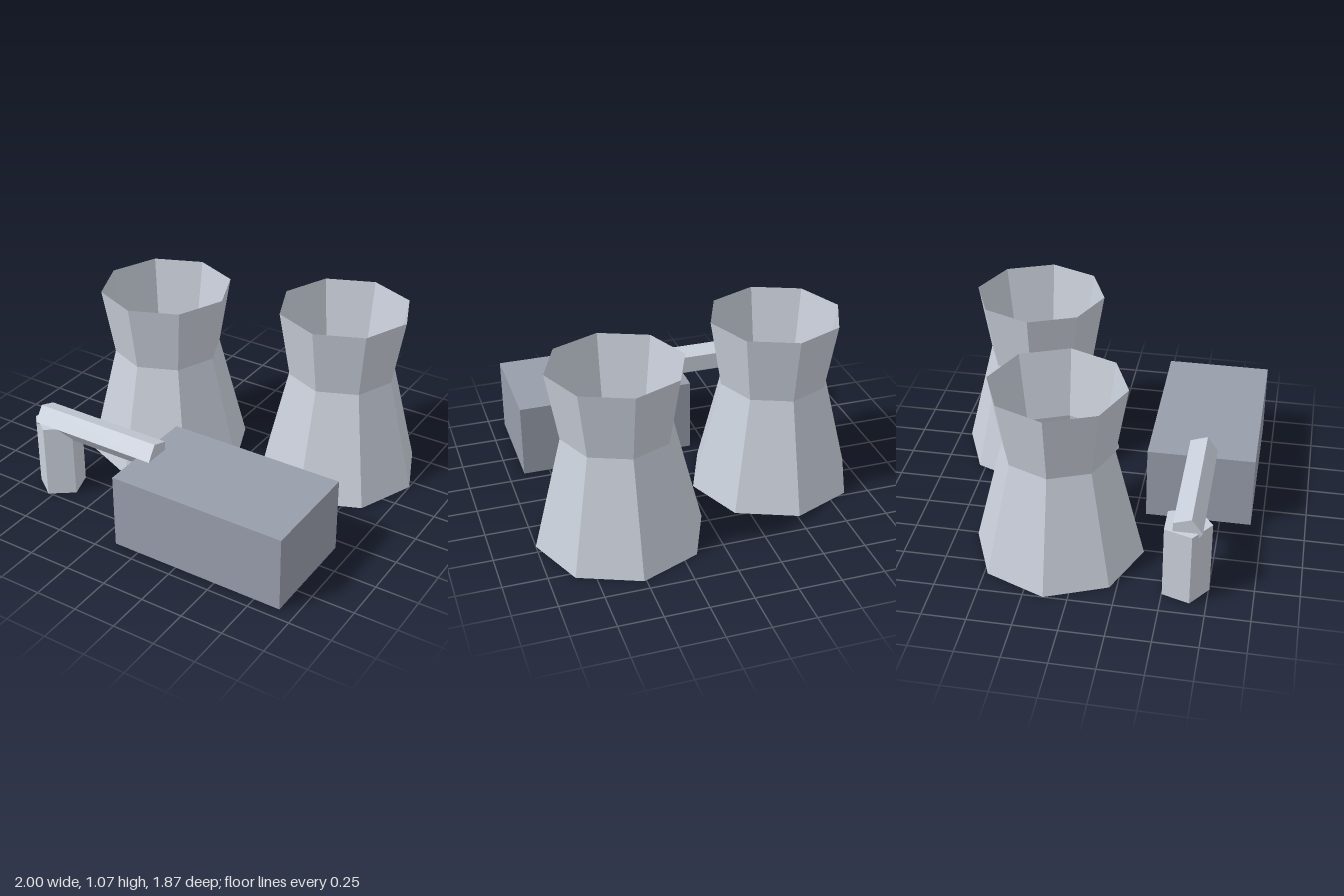
import * as THREE from 'three';

export function createModel() {
  const model = new THREE.Group();
  model.name = 'powerPlant';

  const lightGrey = new THREE.MeshStandardMaterial({ color: 0xc9cfda, flatShading: true });
  lightGrey.name = 'lightGrey';
  const shellGrey = new THREE.MeshStandardMaterial({ color: 0xc9cfda, flatShading: true, side: THREE.DoubleSide });
  shellGrey.name = 'lightGreyShell';
  const darkGrey = new THREE.MeshStandardMaterial({ color: 0x989dab, flatShading: true });
  darkGrey.name = 'buildingGrey';

  const add = (name, geometry, material, x, y, z) => {
    const mesh = new THREE.Mesh(geometry, material);
    mesh.name = name;
    mesh.position.set(x, y, z);
    model.add(mesh);
    return mesh;
  };

  // Cooling towers: open eight-sided shells with a narrow waist
  const profile = [[0.487, 0], [0.32, 0.67], [0.388, 1.07]].map(([r, y]) => new THREE.Vector2(r, y));
  const towerGeometry = new THREE.LatheGeometry(profile, 8);
  add('rightCoolingTower', towerGeometry, shellGrey, -0.513, 0, -0.135);
  add('leftCoolingTower', towerGeometry, shellGrey, 0.513, 0, -0.446);

  // Main building
  add('building', new THREE.BoxGeometry(1.06, 0.446, 0.622), darkGrey, 0.376, 0.223, 0.622);

  // Five-sided pipe running from the post into the building
  add('pipePost', new THREE.CylinderGeometry(0.14, 0.14, 0.446, 5), lightGrey, -0.78, 0.223, 0.615);
  const pipe = add('pipe', new THREE.CylinderGeometry(0.089, 0.089, 0.8, 5), lightGrey, -0.469, 0.446, 0.621);
  pipe.rotation.z = Math.PI / 2;

  return model;
}
